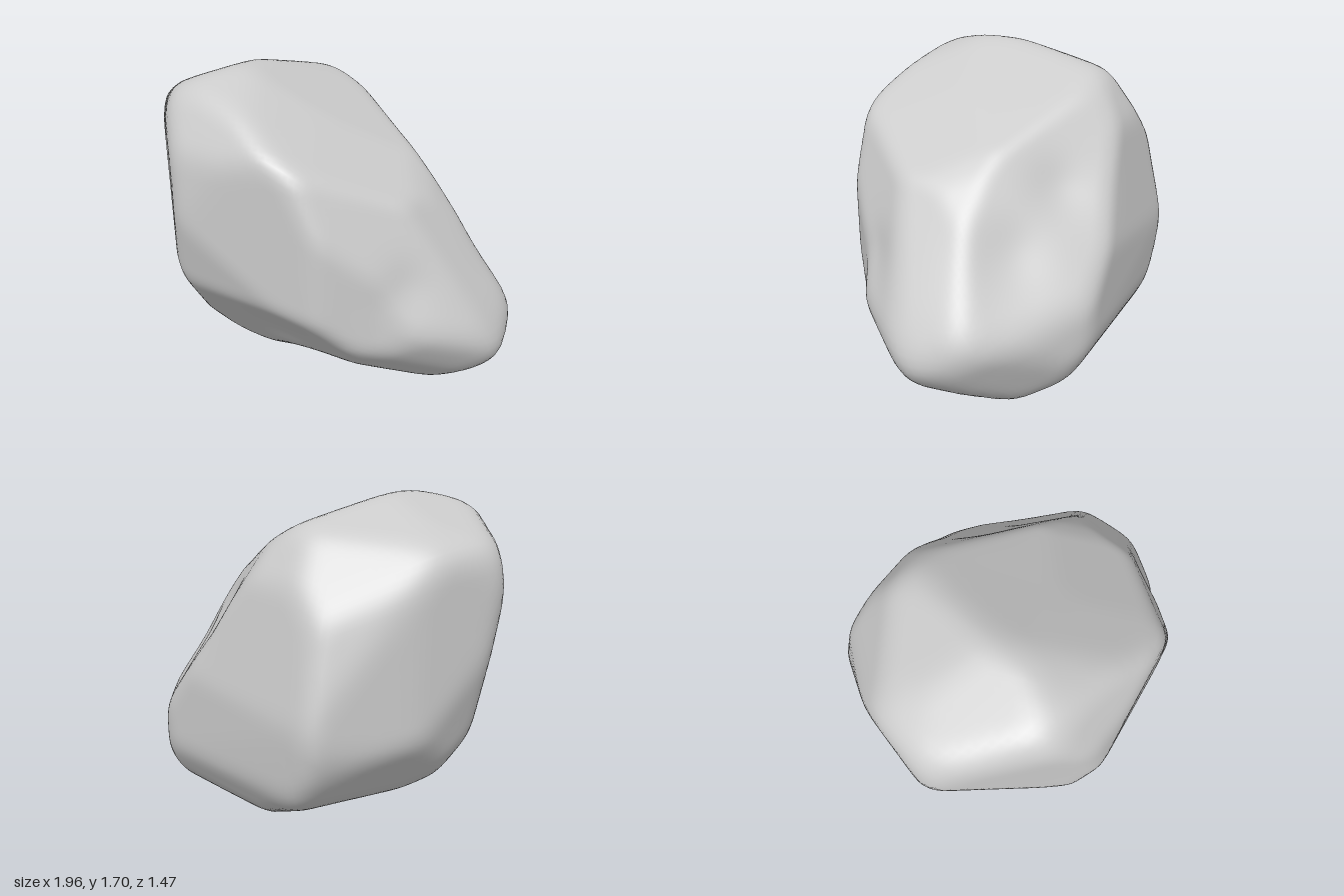
import * as THREE from 'three';
import { mergeVertices } from 'three/addons/utils/BufferGeometryUtils.js';

// A closed outline of the boulder, facing a given azimuth and elevation
function outline(azimuth, elevation, corners) {
  const a = THREE.MathUtils.degToRad(azimuth), e = THREE.MathUtils.degToRad(elevation);
  return {
    right: new THREE.Vector3(Math.cos(a), 0, -Math.sin(a)),
    up: new THREE.Vector3(-Math.sin(e) * Math.sin(a), Math.cos(e), -Math.sin(e) * Math.cos(a)),
    corners,
  };
}

const front = outline(0, 0, [[-.93, .67], [-.34, .89], [.1, .63], [.57, .33], [.92, -.25], [1.015, -.44],
  [.98, -.53], [.28, -.89], [-.2, -.83], [-.83, -.42], [-1.01, .3], [-.98, .55]]);
const side = outline(90, 0, [[-.33, .89], [.02, .86], [.47, .74], [.62, .5], [.74, -.1], [.72, -.45],
  [.54, -.75], [.06, -.89], [-.2, -.74], [-.66, -.18], [-.74, .2], [-.7, .53], [-.55, .79]]);
const top = outline(0, 90, [[-.66, .74], [.42, .72], [.9, .39], [1.015, .05], [.97, -.14], [.85, -.29],
  [.6, -.42], [.36, -.635], [-.4, -.74], [-1, -.2], [-.88, .27]]);
const frontCorner = outline(35, 20, [[-.93, .57], [-.86, .77], [-.54, .86], [0, .9], [.18, .76], [.41, .44],
  [.96, -.4], [.92, -.53], [.82, -.66], [.39, -.89], [-.53, -.6], [-.7, -.45], [-.8, -.11]]);
const backCorner = outline(215, 20, [[-.97, -.2], [-.9, -.02], [-.49, .39], [-.28, .54], [.39, .82], [.6, .83],
  [.77, .77], [.93, .4], [.93, .22], [.8, -.36], [.6, -.63], [-.16, -.83], [-.74, -.68]]);
const underside = outline(145, -22, [[.45, .77], [.6, .73], [.87, .4], [.98, -.06], [.9, -.27], [.6, -.63],
  [.17, -.82], [-.04, -.7], [-.58, -.49], [-.73, -.35], [-.88, -.08], [-.62, .36], [-.52, .45]]);
const outlines = [front, side, top, frontCorner, backCorner, underside];

// The broad flat face sloping to the front right
const face = { normal: new THREE.Vector3(.8, .35, .48).normalize(), distance: .68 };

// Worn hollows in the surface: the direction they lie in, depth and width
const hollow = (x, y, z, depth, width) => ({ dir: new THREE.Vector3(x, y, z).normalize(), depth, width });
const hollows = [
  hollow(.25, .3, -.52, .05, .28),
  hollow(.62, 0, -.4, .05, .28),
  hollow(.05, -.42, .45, .03, .35),
  hollow(.68, -.06, .33, .03, .18),
];

// Distance along a direction to the side of an outline's prism
function reach({ right, up, corners }, dir) {
  const u = dir.dot(right), v = dir.dot(up);
  let best = 50;
  corners.forEach(([ax, ay], i) => {
    const [bx, by] = corners[(i + 1) % corners.length];
    const ex = bx - ax, ey = by - ay, den = u * ey - v * ex;
    if (Math.abs(den) < 1e-9) return;
    const t = (ax * ey - ay * ex) / den, s = (ax * v - ay * u) / den;
    if (t > 0 && s >= -1e-6 && s <= 1 + 1e-6) best = Math.min(best, t);
  });
  return best;
}

// The stone is what all the prisms share, trimmed by the flat face
function radius(dir) {
  const slope = Math.max(dir.dot(face.normal), .01);
  return Math.min(face.distance / slope, ...outlines.map((o) => reach(o, dir)));
}

// Average over two rings of nearby directions to wear down the ridges
function wornRadius(dir) {
  const steep = Math.abs(dir.y) > .9;
  const across = new THREE.Vector3(steep ? 1 : 0, steep ? 0 : 1, 0).cross(dir).normalize();
  const along = dir.clone().cross(across);
  let total = radius(dir);
  for (let k = 0; k < 12; k++) {
    const angle = k * Math.PI / 6, spread = k % 2 ? .045 : .09;
    total += radius(dir.clone()
      .addScaledVector(across, spread * Math.cos(angle))
      .addScaledVector(along, spread * Math.sin(angle)).normalize());
  }
  return hollows.reduce(
    (r, h) => r * (1 - h.depth * Math.exp(-((dir.angleTo(h.dir) / h.width) ** 2))), total / 13);
}

export function createModel() {
  const ball = new THREE.IcosahedronGeometry(1, 32);
  ball.deleteAttribute('uv');
  ball.deleteAttribute('normal');
  const stone = mergeVertices(ball, 1e-4);

  // Move each point of the ball to the stone's surface
  const pos = stone.attributes.position, dir = new THREE.Vector3();
  for (let i = 0; i < pos.count; i++) {
    dir.fromBufferAttribute(pos, i).normalize();
    const r = wornRadius(dir);
    pos.setXYZ(i, dir.x * r, dir.y * r, dir.z * r);
  }
  stone.computeVertexNormals();

  // Centre it and stand it on the ground
  stone.center();
  stone.computeBoundingBox();
  stone.translate(0, -stone.boundingBox.min.y, 0);

  const boulder = new THREE.Mesh(stone, new THREE.MeshStandardMaterial({ color: 0xcccccc }));
  boulder.name = 'boulder';
  const group = new THREE.Group();
  group.name = 'rock';
  group.add(boulder);
  return group;
}
